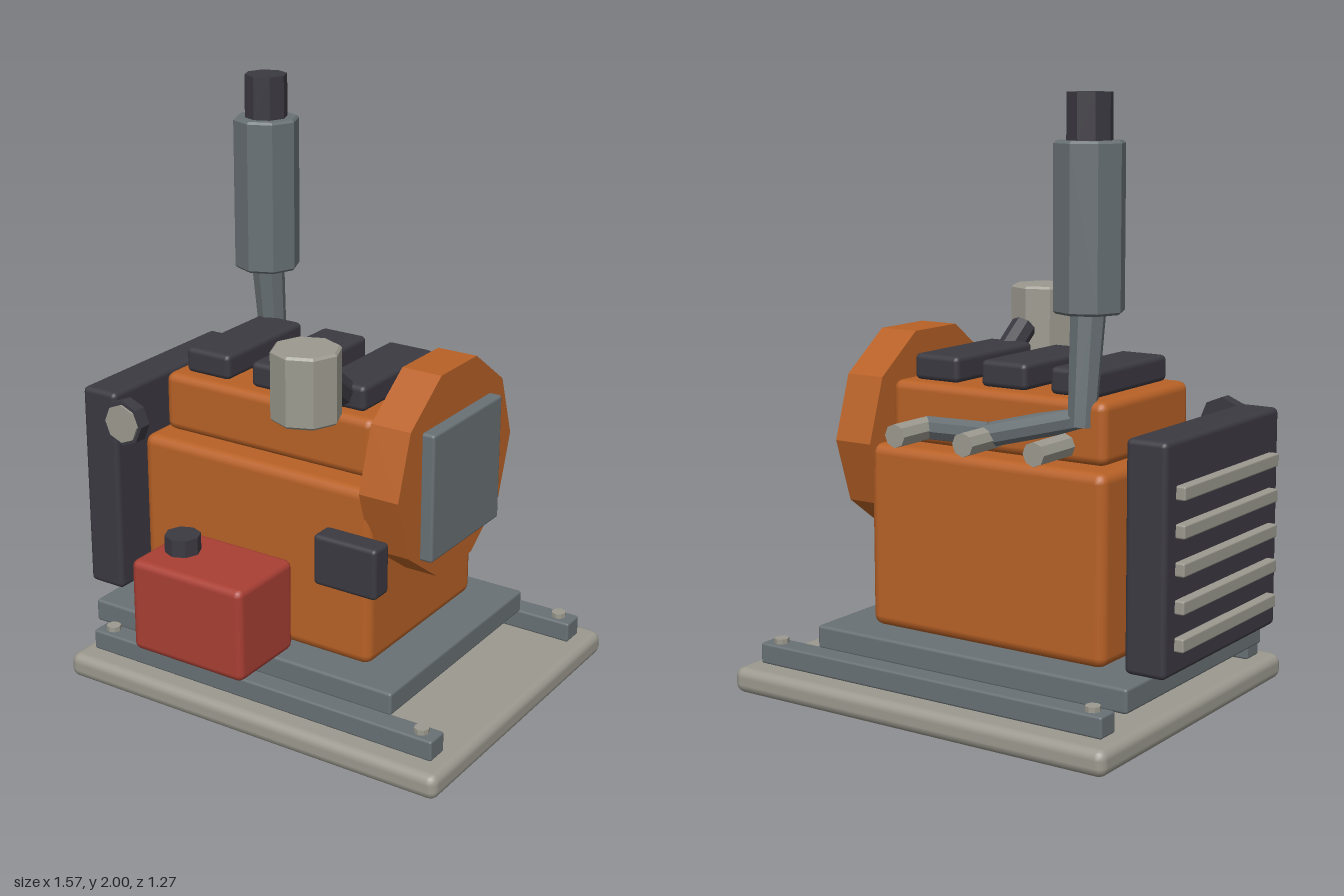
import * as THREE from 'three';
import { RoundedBoxGeometry } from 'three/addons/geometries/RoundedBoxGeometry.js';

const paint = (name, color) => {
  const m = new THREE.MeshStandardMaterial({ color });
  m.name = name;
  return m;
};

export function createModel() {
  const model = new THREE.Group();
  model.name = 'stationaryEngine';

  const orange = paint('orange', 0xb86126);
  const red = paint('red', 0xa93f34);
  const steel = paint('steel', 0x697175);
  const dark = paint('charcoal', 0x3c3a42);
  const light = paint('lightGrey', 0x9c9a8f);
  for (const m of [orange, red, steel, dark, light]) m.flatShading = false;

  const add = (name, geometry, material) => {
    const mesh = new THREE.Mesh(geometry, material);
    mesh.name = name;
    model.add(mesh);
    return mesh;
  };

  // Rounded box given by its extents on each axis
  const box = (name, mat, [x0, x1], [y0, y1], [z0, z1], r = 0.012) => {
    const g = new RoundedBoxGeometry(x1 - x0, y1 - y0, z1 - z0, 2, r);
    const mesh = add(name, g, mat);
    mesh.position.set((x0 + x1) / 2, (y0 + y1) / 2, (z0 + z1) / 2);
    return mesh;
  };

  // Faceted cylinder running from point a to point b
  const up = new THREE.Vector3(0, 1, 0);
  const rod = (name, mat, a, b, r0, r1 = r0, sides = 8) => {
    const p = new THREE.Vector3(...a), q = new THREE.Vector3(...b);
    const d = q.clone().sub(p);
    const g = new THREE.CylinderGeometry(r1, r0, d.length(), sides).toNonIndexed();
    g.computeVertexNormals();
    const mesh = add(name, g, mat);
    mesh.position.copy(p).add(q).multiplyScalar(0.5);
    mesh.quaternion.setFromUnitVectors(up, d.normalize());
    return mesh;
  };

  // Upright octagonal can with a small chamfer on both rims
  const can = (name, mat, x, z, y0, y1, r, c = 0.008) => {
    const pts = [[0, y0], [r - c, y0], [r, y0 + c], [r, y1 - c], [r - c, y1], [0, y1]];
    const g = new THREE.LatheGeometry(pts.map(p => new THREE.Vector2(...p)), 8).toNonIndexed();
    g.computeVertexNormals();
    add(name, g, mat).position.set(x, 0, z);
  };

  // Base slab, rails with bolts, mounting plate
  box('baseSlab', light, [-0.68, 0.78], [0, 0.088], [-0.635, 0.54], 0.032);
  for (const z of [-0.515, 0.425]) {
    box('skidRail', steel, [-0.625, 0.723], [0.092, 0.163], [z - 0.041, z + 0.041], 0.008);
    for (const x of [-0.57, 0.665])
      rod('railBolt', light, [x, 0.155, z], [x, 0.18, z], 0.025);
  }
  box('mountingPlate', steel, [-0.67, 0.532], [0.158, 0.238], [-0.485, 0.395], 0.01);

  // Engine body
  box('engineBlock', orange, [-0.522, 0.385], [0.24, 0.857], [-0.383, 0.292], 0.035);
  box('cylinderHead', orange, [-0.48, 0.342], [0.86, 1.063], [-0.312, 0.217], 0.03);

  // Rocker covers and exhaust stubs, one per cylinder
  for (const x of [-0.335, -0.07, 0.195]) {
    box('rockerCover', dark, [x - 0.088, x + 0.088], [1.063, 1.15], [-0.266, 0.17], 0.018);
    rod('exhaustStub', light, [x, 0.917, -0.27], [x, 0.917, -0.487], 0.039);
  }

  // Flywheel housing and its cover
  rod('flywheelHousing', orange, [0.36, 0.858, -0.043], [0.503, 0.858, -0.043], 0.364, 0.364, 10);
  box('housingCover', steel, [0.495, 0.546], [0.61, 1.047], [-0.26, 0.18], 0.01);

  // Radiator with slats
  box('radiator', dark, [-0.757, -0.615], [0.258, 0.987], [-0.415, 0.318], 0.018);
  for (let i = 0; i < 5; i++) {
    const y = 0.358 + i * 0.117;
    box('radiatorSlat', light, [-0.788, -0.75], [y - 0.022, y + 0.022], [-0.355, 0.26], 0.006);
  }

  // Gauge
  rod('gaugeBody', dark, [-0.54, 0.917, 0.328], [-0.54, 0.917, 0.374], 0.08);
  rod('gaugeFace', light, [-0.54, 0.917, 0.37], [-0.54, 0.917, 0.382], 0.067);

  // Fuel tank, filler cap and control box
  box('fuelTank', red, [-0.315, 0.122], [0.256, 0.578], [0.336, 0.632], 0.025);
  rod('fuelCap', dark, [-0.215, 0.57, 0.48], [-0.215, 0.637, 0.48], 0.06);
  box('controlBox', dark, [0.226, 0.46], [0.535, 0.71], [0.295, 0.38], 0.015);

  // Air filter and intake pipe
  can('airFilter', light, 0.195, 0.368, 1.092, 1.325, 0.113);
  rod('intakePipe', dark, [0.195, 1.085, 0.115], [0.195, 1.188, 0.245], 0.045);

  // Exhaust manifold, riser, muffler and outlet
  rod('manifoldPipe', steel, [0.195, 0.917, -0.31], [-0.075, 0.93, -0.345], 0.04);
  rod('manifoldPipe', steel, [-0.06, 0.925, -0.348], [-0.4, 1.01, -0.29], 0.04);
  rod('exhaustRiser', steel, [-0.39, 0.98, -0.3], [-0.39, 1.345, -0.265], 0.045, 0.057);
  can('muffler', steel, -0.392, -0.265, 1.33, 1.855, 0.113);
  rod('exhaustOutlet', dark, [-0.392, 1.85, -0.265], [-0.392, 2, -0.265], 0.073);

  return model;
}
